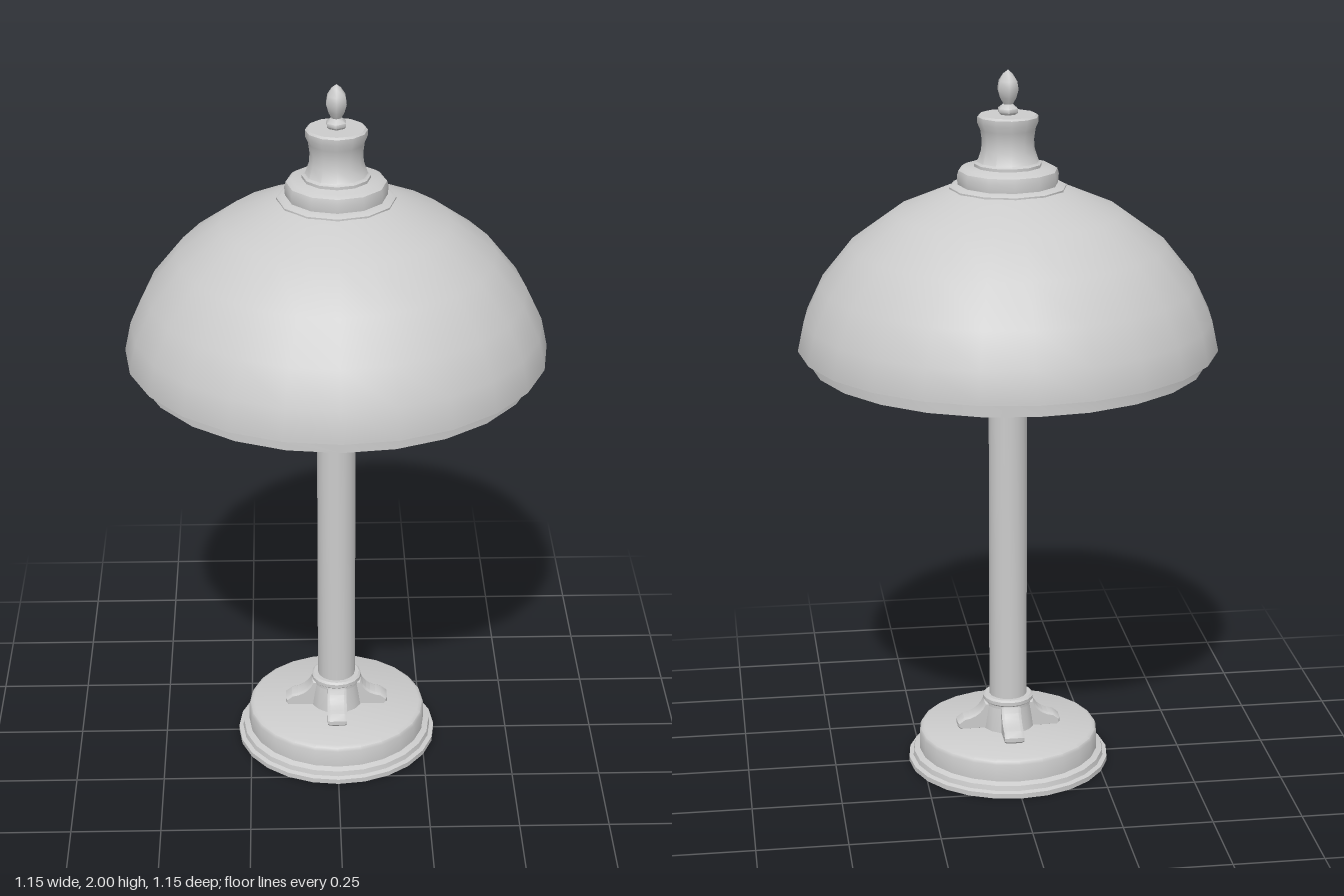
import * as THREE from 'three';
import { toCreasedNormals } from 'three/addons/utils/BufferGeometryUtils.js';

const material = new THREE.MeshStandardMaterial({ color: 0xcccccc, side: THREE.DoubleSide });

function part(name, geometry, parent) {
  const mesh = new THREE.Mesh(geometry, material);
  mesh.name = name;
  parent.add(mesh);
  return mesh;
}

// Turned part from [radius, height] pairs, bottom to top
function turned(name, profile, sides, parent, crease = 0.7) {
  const points = profile.map(([r, y]) => new THREE.Vector2(r, y));
  return part(name, toCreasedNormals(new THREE.LatheGeometry(points, sides), crease), parent);
}

// Collar with four scrolled feet; stands on y = 0
function createBracket(name) {
  const bracket = new THREE.Group();
  bracket.name = name;
  turned('collar', [[0.05, 0.072], [0.066, 0.072], [0.066, 0.08], [0.072, 0.085], [0.072, 0.095],
    [0.066, 0.1], [0.05, 0.1]], 16, bracket);
  turned('hub', [[0.075, 0], [0.07, 0.04], [0.065, 0.075]], 16, bracket);

  const outline = new THREE.Shape();
  outline.moveTo(0.03, 0);
  outline.lineTo(0.14, 0);
  outline.lineTo(0.148, 0.008);
  outline.lineTo(0.148, 0.02);
  outline.lineTo(0.13, 0.034);
  outline.quadraticCurveTo(0.085, 0.04, 0.07, 0.08);
  outline.lineTo(0.03, 0.08);
  const foot = new THREE.ExtrudeGeometry(outline, {
    depth: 0.04, bevelThickness: 0.008, bevelSize: 0.004, bevelOffset: -0.004, bevelSegments: 1, curveSegments: 5,
  });
  foot.translate(0, 0, -0.02);
  const footGeometry = toCreasedNormals(foot, 0.5);
  for (let i = 0; i < 4; i++) part('foot', footGeometry, bracket).rotation.y = i * Math.PI / 2;
  return bracket;
}

export function createModel() {
  const lamp = new THREE.Group();
  lamp.name = 'tableLamp';

  // Stepped round base
  turned('base', [[0, 0], [0.287, 0], [0.287, 0.014], [0.275, 0.018], [0.272, 0.032], [0.256, 0.038],
    [0.256, 0.088], [0.252, 0.097], [0.242, 0.102], [0, 0.102]], 24, lamp);

  // Column with matching brackets at both ends
  turned('column', [[0.054, 0.1], [0.054, 1.2]], 16, lamp);
  const lower = createBracket('lowerBracket');
  lower.position.y = 0.1;
  const upper = createBracket('upperBracket');
  upper.position.y = 1.2;
  upper.rotation.x = Math.PI;
  lamp.add(lower, upper);

  // Shade supports
  turned('supportPlate', [[0, 1.2], [0.08, 1.2], [0.08, 1.22], [0, 1.22]], 16, lamp);
  const strut = new THREE.BoxGeometry(0.48, 0.016, 0.016).translate(0.29, 1.212, 0);
  for (let i = 0; i < 4; i++) part('strut', strut, lamp).rotation.y = i * Math.PI / 2;

  // Domed shade: inner skin, rim band, lip, outer skin
  const dome = [[0.577, 1.246], [0.56, 1.325], [0.515, 1.42], [0.43, 1.527], [0.31, 1.615], [0.16, 1.68], [0, 1.7]];
  const inner = dome.slice(1).reverse().map(([r, y]) => [Math.max(0, r - 0.015), y - 0.015]);
  turned('shade', [...inner, [0.545, 1.25], [0.515, 1.24], [0.515, 1.2], [0.545, 1.2], [0.545, 1.23],
    [0.577, 1.24], ...dome], 24, lamp);

  // Cap and flared neck
  turned('cap', [[0.16, 1.672], [0.16, 1.685], [0.15, 1.69], [0.137, 1.692], [0.139, 1.715], [0.135, 1.73],
    [0.122, 1.738], [0.092, 1.74], [0.092, 1.748], [0.084, 1.753], [0.073, 1.785], [0.071, 1.81], [0.075, 1.84],
    [0.083, 1.858], [0.083, 1.875], [0.077, 1.88], [0, 1.88]], 12, lamp);

  // Bud-shaped finial
  turned('finial', [[0.02, 1.878], [0.029, 1.886], [0.029, 1.896], [0.014, 1.908], [0.024, 1.925], [0.031, 1.948],
    [0.027, 1.97], [0.014, 1.989], [0, 2]], 6, lamp, 1.2);

  return lamp;
}
